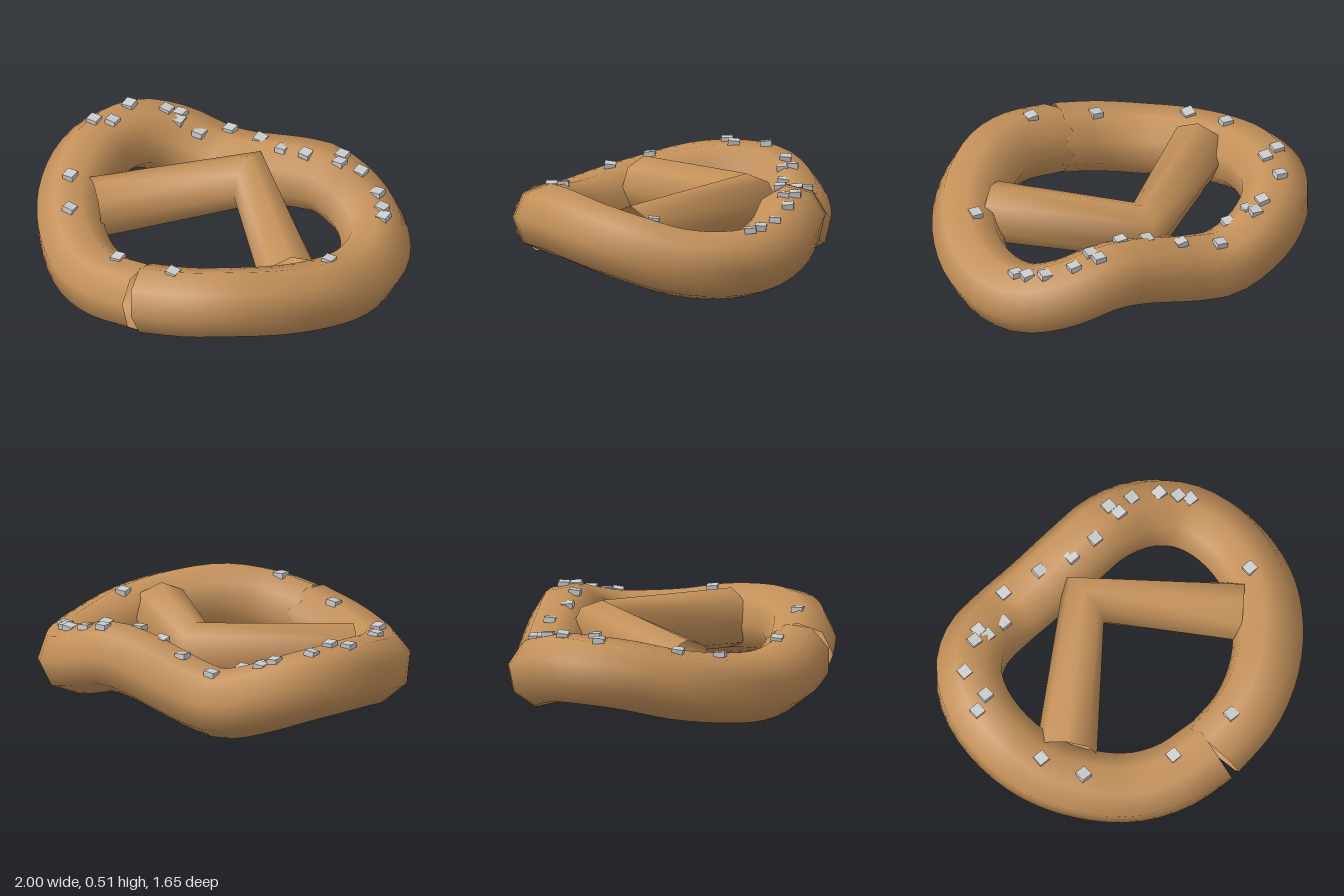
import * as THREE from 'three';

const dough = new THREE.MeshStandardMaterial({ color: 0xc4915a, side: THREE.DoubleSide });
const grain = new THREE.MeshStandardMaterial({ color: 0xcccccc });

const RADIUS = 0.185;
const MID_Y = 0.252;
const WAVE = 0.066;

// Half of the loop, front to back: x, z, wave height (-1..1)
const HALF = [
  [0, 0.64, 0], [0.24, 0.607, 0.7], [0.445, 0.51, 1], [0.635, 0.335, 0.6],
  [0.765, 0.125, 0], [0.82, -0.1, -0.75], [0.802, -0.32, -1], [0.72, -0.485, -0.8],
  [0.56, -0.6, 0.05], [0.34, -0.645, 1], [0.17, -0.645, 0.7], [0, -0.645, 0],
];

// Salt grain positions: x, z
const SALT = [
  [-0.3, -0.7], [-0.09, -0.66], [0.08, -0.6], [0.23, -0.59], [0.4, -0.68], [0.42, -0.62],
  [0.53, -0.65], [0.67, -0.59], [0.74, -0.52], [0.78, -0.47], [0.76, 0.04], [0.15, 0.61],
  [-0.21, 0.57], [-0.64, 0.35], [-0.76, 0.15], [-0.86, -0.25], [-0.77, -0.29],
  [-0.77, -0.46], [-0.61, -0.57], [-0.55, -0.61], [-0.53, -0.56], [-0.41, -0.57],
];

function loopCurve() {
  const point = (side) => ([x, z, w]) => new THREE.Vector3(side * x, MID_Y + side * WAVE * w, z);
  const left = HALF.map(point(1));
  const right = HALF.map(point(-1)).reverse().slice(1);
  return new THREE.CatmullRomCurve3([...left, ...right]);
}

export function createModel() {
  const group = new THREE.Group();
  const add = (geometry, material, name) => {
    const mesh = new THREE.Mesh(geometry, material);
    mesh.name = name;
    group.add(mesh);
  };

  // Wavy outer loop, its two ends meeting at the front
  const curve = loopCurve();
  add(new THREE.TubeGeometry(curve, 64, RADIUS, 8, false), dough, 'outerLoop');

  // V-shaped inner strand, its ends sunk into the loop
  const strand = new THREE.CatmullRomCurve3([
    new THREE.Vector3(-0.6, 0.295, 0.165),
    new THREE.Vector3(0, 0.342, -0.405),
    new THREE.Vector3(0.6, 0.295, 0.165),
  ]);
  add(new THREE.TubeGeometry(strand, 2, 0.16, 8, false), dough, 'crossedStrand');

  // Salt grains resting on top of the loop
  const samples = curve.getSpacedPoints(200);
  const box = new THREE.BoxGeometry(0.06, 0.03, 0.06);
  const salt = new THREE.Group();
  salt.name = 'saltGrains';
  group.add(salt);
  SALT.forEach(([x, z], i) => {
    const distance = (p) => Math.hypot(p.x - x, p.z - z);
    const near = samples.reduce((a, b) => (distance(b) < distance(a) ? b : a));
    const d = Math.min(distance(near), 0.12);
    const cube = new THREE.Mesh(box, grain);
    cube.name = 'saltGrain';
    cube.position.set(x, near.y + Math.sqrt(RADIUS ** 2 - d ** 2) - 0.002, z);
    cube.rotation.set(0.12 * Math.sin(i * 2.3), 0, 0.12 * Math.sin(i * 3.7 + 1));
    salt.add(cube);
  });

  return group;
}
